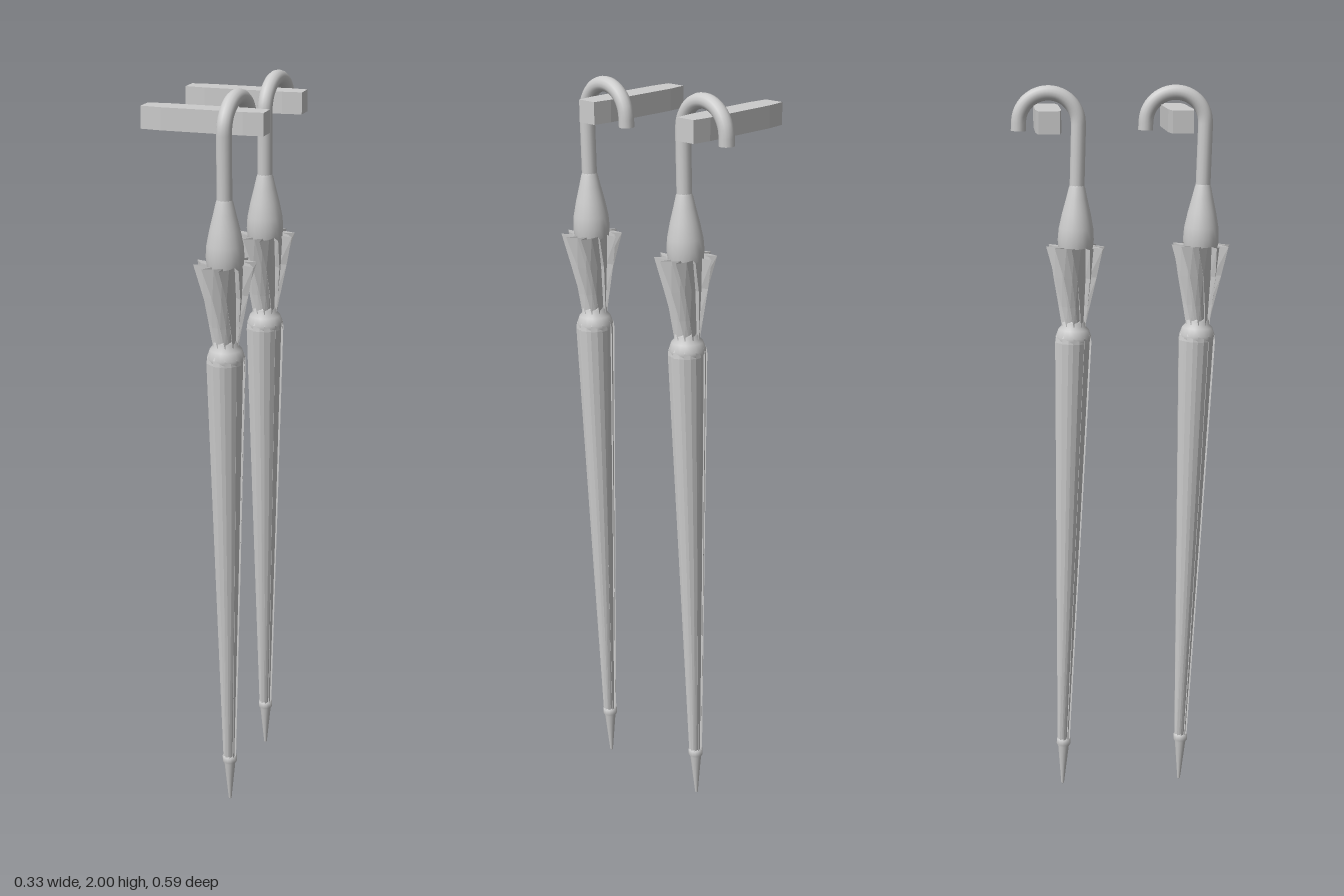
import * as THREE from 'three';

const smooth = new THREE.MeshStandardMaterial({ color: 0xcccccc });
const folded = new THREE.MeshStandardMaterial({ color: 0xcccccc, flatShading: true, side: THREE.DoubleSide });
const PLEATS = 10;

function add(group, name, geometry, material) {
  const mesh = new THREE.Mesh(geometry, material);
  mesh.name = name;
  group.add(mesh);
  return mesh;
}

// Sawtooth-pleated cloth lofted through rings of [y, valley radius, fold radius, twist].
// Each pleat rises slowly to its fold, then tucks back under the next one.
function pleatedCloth(rings) {
  const steps = [[0, 0], [0.55, 0.45], [1.12, 1]]; // [position in pleat, height of fold]
  const n = PLEATS * steps.length;
  const positions = [], index = [];
  for (const [y, valley, fold, twist] of rings) {
    for (let p = 0; p < PLEATS; p++) {
      for (const [t, h] of steps) {
        const a = ((p + t) / PLEATS) * Math.PI * 2 + twist;
        const r = valley + (fold - valley) * h;
        positions.push(Math.cos(a) * r, y, Math.sin(a) * r);
      }
    }
  }
  for (let i = 0; i < rings.length - 1; i++) {
    for (let j = 0; j < n; j++) {
      const a = i * n + j, b = i * n + ((j + 1) % n);
      index.push(a, a + n, b, b, a + n, b + n);
    }
  }
  const g = new THREE.BufferGeometry();
  g.setAttribute('position', new THREE.Float32BufferAttribute(positions, 3));
  g.setIndex(index);
  g.computeVertexNormals();
  return g;
}

function lathe(profile, segments = 20) {
  return new THREE.LatheGeometry(profile.map(([r, y]) => new THREE.Vector2(r, y)), segments);
}

// Crook handle: straight shaft, half circle, short drop
function crookHandle() {
  const group = new THREE.Group();
  group.name = 'crookHandle';
  const R = 0.08, top = 1.897, end = 1.875;
  const path = new THREE.CurvePath();
  path.add(new THREE.LineCurve3(new THREE.Vector3(0, 1.70, 0), new THREE.Vector3(0, top, 0)));
  const arc = [];
  for (let i = 0; i <= 12; i++) {
    const a = (i / 12) * Math.PI;
    arc.push(new THREE.Vector3(0, top + R * Math.sin(a), -R + R * Math.cos(a)));
  }
  path.add(new THREE.CatmullRomCurve3(arc));
  path.add(new THREE.LineCurve3(arc[12], new THREE.Vector3(0, end, -2 * R)));
  add(group, 'crook', new THREE.TubeGeometry(path, 48, 0.02, 14), smooth);
  const cap = add(group, 'crookEnd', new THREE.CircleGeometry(0.02, 14), smooth);
  cap.position.set(0, end, -2 * R);
  cap.rotation.x = Math.PI / 2;
  group.rotation.y = -0.1;
  return group;
}

function umbrella() {
  const group = new THREE.Group();
  group.name = 'umbrella';
  group.add(crookHandle());

  // Bell-shaped grip under the handle, running down inside the frill
  add(group, 'grip', lathe([
    [0.012, 1.36], [0.03, 1.48], [0.046, 1.56], [0.049, 1.59], [0.047, 1.62],
    [0.039, 1.66], [0.029, 1.70], [0.022, 1.73], [0.018, 1.74],
  ]), smooth);

  // Flared, twisted edge of the cloth
  add(group, 'frill', pleatedCloth([
    [1.355, 0.027, 0.034, 0], [1.41, 0.031, 0.043, 0.25],
    [1.49, 0.039, 0.06, 0.5], [1.572, 0.049, 0.081, 0.75],
  ]), folded);

  // Tie band between frill and rolled canopy
  add(group, 'tieBand', lathe([
    [0.046, 1.312], [0.049, 1.325], [0.042, 1.345], [0.033, 1.355], [0.034, 1.365], [0.028, 1.372],
  ]), smooth);

  // Rolled canopy
  add(group, 'canopy', pleatedCloth([
    [0.13, 0.013, 0.018, 0], [0.7, 0.03, 0.0345, 0],
    [1.31, 0.046, 0.052, 0], [1.325, 0.044, 0.05, 0], [1.34, 0.038, 0.042, 0],
  ]), folded);

  // Metal tip with collar
  add(group, 'tip', lathe([
    [0, 0], [0.004, 0.004], [0.0155, 0.12], [0.02, 0.127], [0.02, 0.142], [0.012, 0.146],
  ], 14), smooth);

  group.rotation.x = 0.031; // hangs slightly out of plumb
  return group;
}

// Horizontal peg with tapered ends, outlined from above
function peg() {
  const outline = [
    [-0.164, 0.159], [-0.108, 0.166], [0.11, 0.171], [0.163, 0.166],
    [0.163, 0.112], [0.11, 0.105], [-0.108, 0.1], [-0.164, 0.105],
  ];
  const shape = new THREE.Shape(outline.map(([x, z]) => new THREE.Vector2(x, -z)));
  const g = new THREE.ExtrudeGeometry(shape, { depth: 0.058, bevelEnabled: false });
  g.rotateX(-Math.PI / 2);
  g.translate(0, 1.888, 0);
  return g;
}

export function createModel() {
  const model = new THREE.Group();
  model.name = 'hangingUmbrellas';
  for (const [name, z] of [['front', 0], ['back', -0.341]]) {
    const set = new THREE.Group();
    set.name = name + 'Set';
    set.position.z = z;
    const u = umbrella();
    u.position.set(0.079, 0, 0.165);
    set.add(u);
    add(set, 'peg', peg(), smooth);
    model.add(set);
  }
  return model;
}
